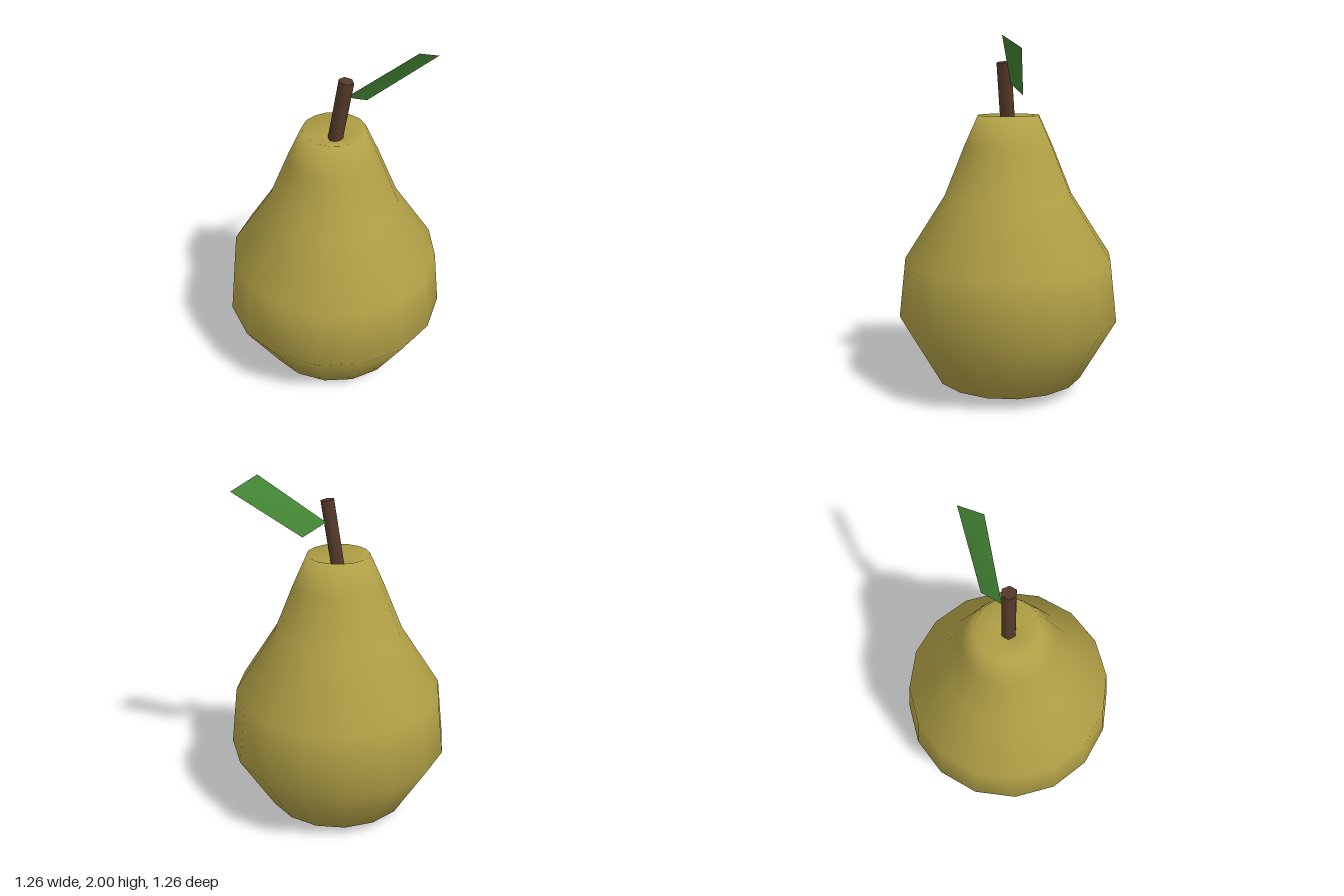
import * as THREE from 'three';

const material = (name, color, side = THREE.FrontSide) => {
  const m = new THREE.MeshStandardMaterial({ color, side });
  m.name = name;
  return m;
};

export function createModel() {
  const group = new THREE.Group();
  group.name = 'pear';
  const add = (name, geometry, mat) => {
    const mesh = new THREE.Mesh(geometry, mat);
    mesh.name = name;
    group.add(mesh);
    return mesh;
  };

  // Fruit body: 16-sided lathe, closed by a shallow dimple at the top
  const profile = [
    [0, 0], [0.428, 0.073], [0.632, 0.43], [0.592, 0.775],
    [0.364, 1.13], [0.25, 1.41], [0.173, 1.58], [0, 1.51],
  ].map(([r, y]) => new THREE.Vector2(r, y));
  add('fruitBody', new THREE.LatheGeometry(profile, 16), material('yellow green skin', 0xb1a046));

  // Stem: six-sided stick leaning to the left and slightly forward
  const base = new THREE.Vector3(0, 1.49, 0.002);
  const tip = new THREE.Vector3(0.056, 1.87, 0.032);
  const axis = tip.clone().sub(base);
  const stem = add('stem', new THREE.CylinderGeometry(0.041, 0.041, axis.length(), 6), material('brown stem', 0x553a29));
  stem.position.copy(base).add(tip).multiplyScalar(0.5);
  stem.quaternion.setFromUnitVectors(new THREE.Vector3(0, 1, 0), axis.normalize());

  // Leaf: one flat, tilted four-cornered blade
  const leaf = new THREE.BufferGeometry();
  leaf.setAttribute('position', new THREE.Float32BufferAttribute([
    0.065, 1.757, -0.003,
    0.195, 1.693, -0.056,
    0.562, 1.932, 0,
    0.42, 2, 0.081,
  ], 3));
  leaf.setIndex([0, 2, 1, 0, 3, 2]);
  leaf.computeVertexNormals();
  // Keep the front of the blade facing up
  if (leaf.attributes.normal.getY(0) < 0) {
    leaf.setIndex([0, 1, 2, 0, 2, 3]);
    leaf.computeVertexNormals();
  }
  add('leaf', leaf, material('leaf green', 0x448635, THREE.DoubleSide));

  return group;
}
